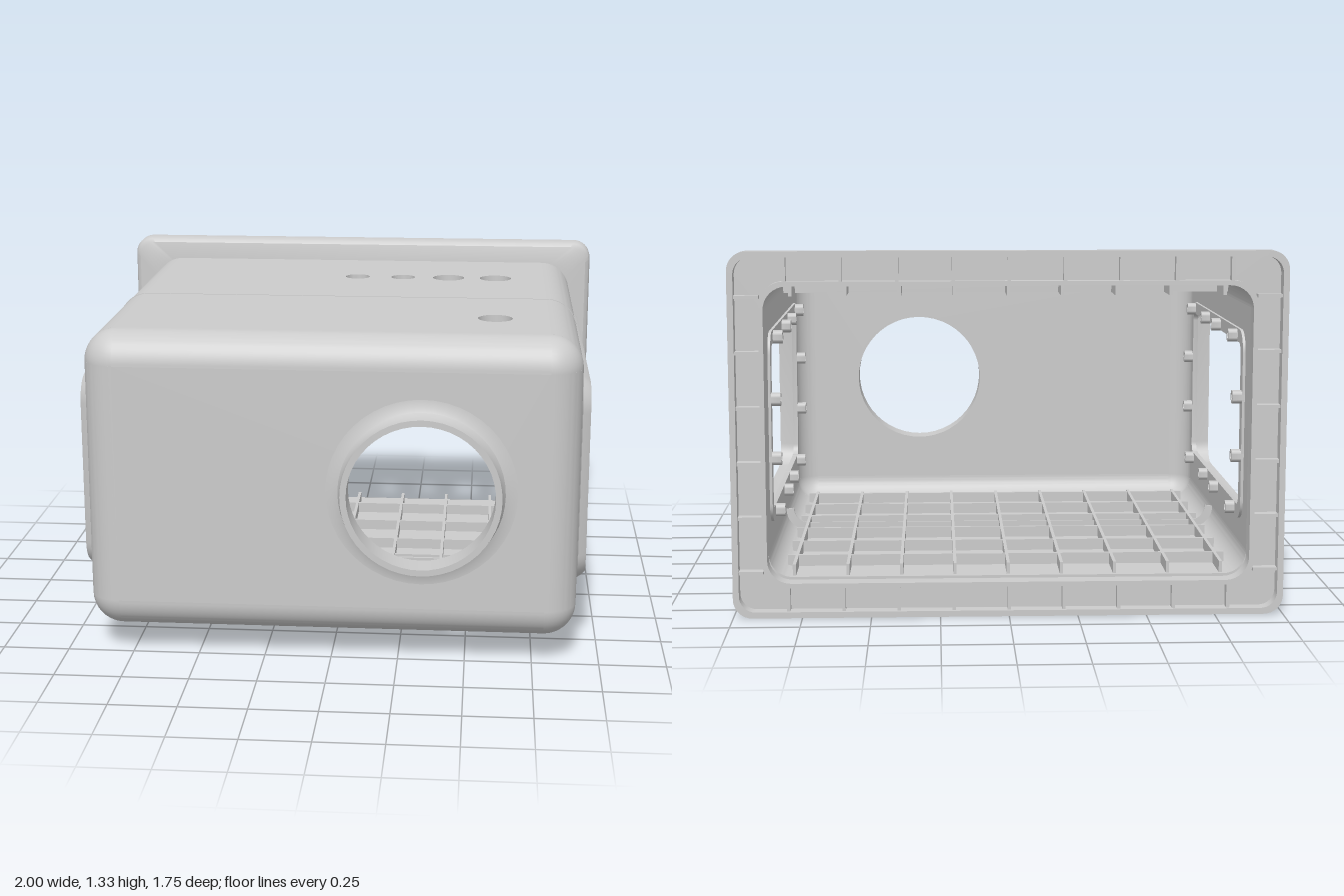
import * as THREE from 'three';
import { toCreasedNormals } from 'three/addons/utils/BufferGeometryUtils.js';

const PI = Math.PI, H = PI / 2;
const T = 0.035, R = 0.12;                       // wall thickness, edge radius
const X = 0.91, Y0 = 0.1, Y1 = 1.237, ZF = 0.8, ZB = -0.8;
const YC = (Y0 + Y1) / 2;
const mat = new THREE.MeshStandardMaterial({ color: 0xcccccc, side: THREE.DoubleSide });

const add = (parent, name, geo, x = 0, y = 0, z = 0, rx = 0, ry = 0) => {
  const m = new THREE.Mesh(geo, mat);
  m.name = name;
  m.position.set(x, y, z);
  m.rotation.set(rx, ry, 0);
  parent.add(m);
  return m;
};

// Rounded rectangle outline, counter-clockwise from the right side of the top right corner
function outline(w, h, r, cx = 0, cy = 0, n = 8) {
  const pts = [];
  [[1, 1], [-1, 1], [-1, -1], [1, -1]].forEach(([sx, sy], c) => {
    for (let i = 0; i <= n; i++) {
      const a = (c + i / n) * H;
      pts.push(new THREE.Vector2(cx + sx * (w / 2 - r) + r * Math.cos(a), cy + sy * (h / 2 - r) + r * Math.sin(a)));
    }
  });
  return pts;
}

const circle = (x, y, r) => new THREE.Path().absarc(x, y, r, 0, 2 * PI, true);

function plate(pts, holes, depth) {
  const s = new THREE.Shape(pts);
  s.holes = holes;
  return toCreasedNormals(new THREE.ExtrudeGeometry(s, { depth, bevelEnabled: false, curveSegments: 20 }), 0.6);
}

const rect = (x0, x1, y0, y1) => [[x0, y0], [x1, y0], [x1, y1], [x0, y1]].map(p => new THREE.Vector2(...p));

// Ring swept round a rounded rectangle; profile rows are [inset, depth, corner radius]
function frame(w, h, profile) {
  const pos = [], idx = [];
  const rings = profile.map(([o, d, r]) => outline(w - 2 * o, h - 2 * o, r).map(p => [p.x, p.y, d]));
  const n = rings[0].length, m = rings.length;
  rings.forEach(ring => ring.forEach(p => pos.push(...p)));
  for (let j = 0; j < m; j++) for (let i = 0; i < n; i++) {
    const a = j * n + i, b = j * n + (i + 1) % n, k = ((j + 1) % m) * n;
    const c = k + (i + 1) % n, d = k + i;
    idx.push(a, b, c, a, c, d);
  }
  const g = new THREE.BufferGeometry();
  g.setAttribute('position', new THREE.Float32BufferAttribute(pos, 3));
  g.setIndex(idx);
  return toCreasedNormals(g, 0.6);
}

// Quarter-round wall section starting at angle a
function quarter(a, length) {
  const s = new THREE.Shape().absarc(0, 0, R, a, a + H, false);
  s.absarc(0, 0, R - T, a + H, a, true);
  return toCreasedNormals(new THREE.ExtrudeGeometry(s, { depth: length, bevelEnabled: false, curveSegments: 10 }), 0.6);
}

// Side wall with its raised window frame, ledge and screw bosses
function sideWall() {
  const g = new THREE.Group();
  const cx = 0.045, cy = 0.665, w = 1.33, h = 0.71;
  const window_ = new THREE.Path(outline(w, h, 0.08, cx, cy));
  add(g, 'sidePanel', plate(rect(-(ZF - R), -ZB, Y0 + R, Y1 - R), [window_], T), X - T, 0, 0, 0, H);
  add(g, 'windowRim', frame(w, h, [
    [-0.048, 0.91, 0.125], [-0.035, 0.915, 0.115], [-0.022, 0.935, 0.105], [-0.012, 0.945, 0.095],
    [0, 0.945, 0.085], [0.004, 0.88, 0.08], [0, 0.875, 0.085]]), 0, cy, -cx, 0, H);
  const screws = [];
  for (const z of [0.52, 0.12, -0.165, -0.565]) screws.push([-z, 0.992], [-z, 0.338]);
  for (const y of [0.775, 0.555]) screws.push([-0.597, y], [0.687, y]);
  const opening = new THREE.Path(outline(w - 0.1, h - 0.1, 0.04, cx, cy));
  const ledgeHoles = screws.map(([u, v]) => circle(u, v, 0.014));
  add(g, 'windowLedge', plate(outline(w, h, 0.08, cx, cy), [opening, ...ledgeHoles], 0.02), 0.865, 0, 0, 0, H);
  for (const [u, v] of screws) {
    const ring = new THREE.Shape().absarc(0, 0, 0.025, 0, 2 * PI, false);
    ring.holes = [circle(0, 0, 0.014)];
    const geo = new THREE.ExtrudeGeometry(ring, { depth: 0.055, bevelEnabled: false, curveSegments: 8 });
    add(g, 'screwBoss', toCreasedNormals(geo, 0.9), 0.83, v, -u, 0, H);
  }
  return g;
}

export function createModel() {
  const model = new THREE.Group();
  model.name = 'housing';
  const zc = ZF - R, xc = X - R;

  // Side walls, mirrored
  for (const s of [1, -1]) {
    const wall = sideWall();
    wall.name = s > 0 ? 'leftWall' : 'rightWall';
    wall.scale.x = s;
    model.add(wall);
  }

  // Front, top and bottom panels
  const lens = [0.335, 0.667], port = [0.53, 0.455];
  add(model, 'frontPanel', plate(rect(-xc, xc, Y0 + R, Y1 - R), [circle(...lens, 0.28)], T), 0, 0, ZF - T);
  const topHoles = [[0.015, -0.41, 0.05], [0.205, -0.41, 0.05], [0.395, -0.41, 0.065], [0.59, -0.41, 0.065], [0.59, 0.41, 0.065]];
  const flat = rect(-xc, xc, -zc, -ZB);
  add(model, 'topPanel', plate(flat, topHoles.map(([x, z, r]) => circle(x, -z, r)), T), 0, Y1 - T, 0, -H);
  add(model, 'bottomPanel', plate(flat, [circle(port[0], -port[1], 0.125)], T), 0, Y0, 0, -H);

  // Rounded edges and front corners
  for (const sy of [1, -1]) {
    const y = sy > 0 ? Y1 - R : Y0 + R;
    add(model, 'frontEdge', quarter(sy > 0 ? H : PI, 2 * xc), -xc, y, zc, 0, H);
    for (const sx of [1, -1]) {
      const a = sy > 0 ? (sx > 0 ? 0 : H) : (sx > 0 ? 3 * H : PI);
      add(model, 'longEdge', quarter(a, zc - ZB), sx * xc, y, ZB);
      for (const r of [R, R - T])
        add(model, 'frontCorner', new THREE.SphereGeometry(r, 10, 10, sx > 0 ? H : 0, H, sy > 0 ? 0 : H, H), sx * xc, y, zc);
    }
  }
  for (const sx of [1, -1])
    add(model, 'uprightEdge', quarter(sx > 0 ? 3 * H : PI, Y1 - Y0 - 2 * R), sx * xc, Y0 + R, zc, -H);

  // Lens neck and bottom port
  const lathe = pts => toCreasedNormals(new THREE.LatheGeometry(pts.map(p => new THREE.Vector2(...p)), 48), 0.6);
  add(model, 'lensNeck', lathe([[0.35, 0.8], [0.325, 0.803], [0.305, 0.812], [0.296, 0.83], [0.293, 0.874],
    [0.27, 0.874], [0.27, 0.765], [0.285, 0.765]]), lens[0], lens[1], 0, H);
  add(model, 'bottomPort', lathe([[0.2, 0.1], [0.185, 0.094], [0.165, 0.078], [0.145, 0.066], [0.12, 0.066],
    [0.12, 0.135], [0.13, 0.135]]), port[0], 0, port[1]);

  // Joint lip between the two halves, above and below the windows
  const outer = outline(2 * X + 0.004, Y1 - Y0 + 0.004, R, 0, YC);
  const inner = outline(2 * X - 0.13, Y1 - Y0 - 0.13, 0.06, 0, YC);
  for (const [from, name] of [[0, 'upperJoint'], [18, 'lowerJoint']]) {
    const half = [...outer.slice(from, from + 18), ...inner.slice(from, from + 18).reverse()];
    add(model, name, plate(half, [], 0.008), 0, 0, 0.021);
  }

  // Stiffening grid on floor and ceiling
  const ribH = 0.045;
  for (const y of [Y0 + T + ribH / 2 - 0.003, Y1 - T - ribH / 2 + 0.003]) {
    for (let i = -4; i <= 4; i++)
      add(model, 'longRib', new THREE.BoxGeometry(0.012, ribH, 1.4), i * 0.196, y, -0.08);
    for (let i = 0; i < 6; i++)
      add(model, 'crossRib', new THREE.BoxGeometry(1.64, ribH, 0.012), 0, y, -0.62 + i * 0.24);
  }

  // Rear flange: a channel open to the back, with short ribs
  const FH = 1.327, fy = FH / 2;
  add(model, 'rearFlange', frame(2, FH, [
    [0, -0.876, 0.07], [0, -0.825, 0.07], [0.006, -0.81, 0.07], [0.02, -0.8, 0.065], [0.125, -0.8, 0.085],
    [0.125, -0.865, 0.085], [0.108, -0.865, 0.09], [0.108, -0.825, 0.09], [0.022, -0.825, 0.06], [0.022, -0.876, 0.06]]), 0, fy, 0);
  for (const s of [1, -1]) {
    for (let i = -4; i <= 4; i++)
      add(model, 'flangeRib', new THREE.BoxGeometry(0.012, 0.09, 0.04), i * 0.2, fy + s * (fy - 0.065), -0.842);
    for (let i = -2.5; i <= 2.5; i++)
      add(model, 'flangeRib', new THREE.BoxGeometry(0.09, 0.012, 0.04), s * 0.935, fy + i * 0.2, -0.842);
  }
  return model;
}
